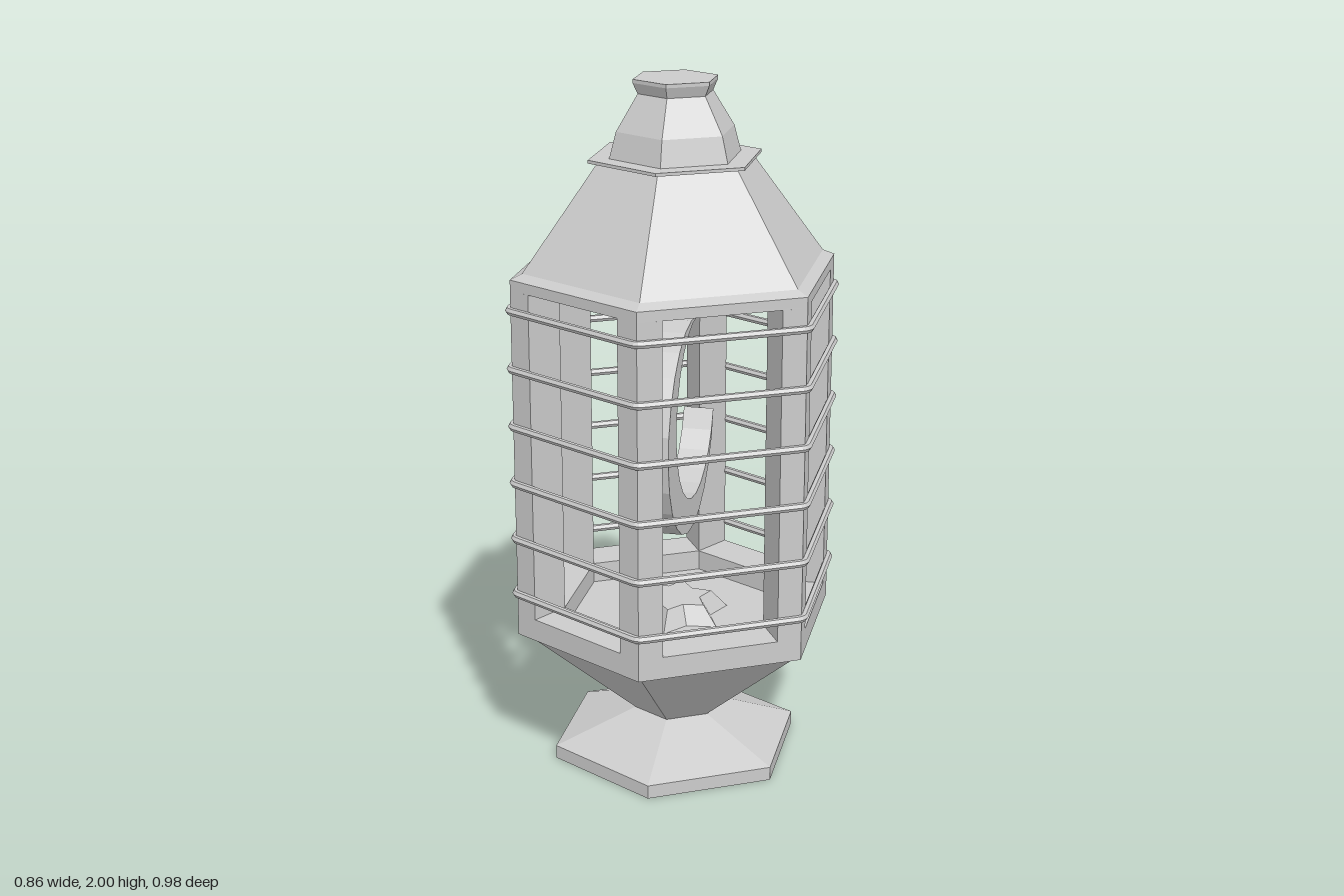
import * as THREE from 'three';

const material = new THREE.MeshStandardMaterial({ color: 0xcccccc, flatShading: true, side: THREE.DoubleSide });

function add(parent, name, geometry) {
  const mesh = new THREE.Mesh(geometry, material);
  mesh.name = name;
  parent.add(mesh);
  return mesh;
}

// Six-sided turned solid; radii are measured to the corners, which lie on +z and -z
function hexLathe(profile) {
  return new THREE.LatheGeometry(profile.map(([r, y]) => new THREE.Vector2(r, y)), 6);
}

// Hexagonal wire hoop with rounded corners, made by bending a torus
function hoopGeometry(cornerRadius, bend, wire) {
  const sides = 6, steps = 24;
  const geo = new THREE.TorusGeometry(1, 1, sides, steps);
  const pos = geo.attributes.position;
  for (let j = 0; j <= sides; j++) {
    for (let i = 0; i <= steps; i++) {
      const k = i % steps;
      const corner = Math.floor(k / 4) * Math.PI / 3;
      const a = corner + ((k % 4) - 1.5) * Math.PI / 9;
      const phi = j / sides * Math.PI * 2;
      const r = bend + wire * Math.cos(phi);
      pos.setXYZ(j * (steps + 1) + i,
        cornerRadius * Math.sin(corner) + r * Math.sin(a),
        wire * Math.sin(phi),
        cornerRadius * Math.cos(corner) + r * Math.cos(a));
    }
  }
  geo.computeVertexNormals();
  return geo;
}

// Tapered six-pointed star
function starGeometry(top, bottom, height) {
  const geo = new THREE.CylinderGeometry(top, bottom, height, 12);
  const pos = geo.attributes.position;
  for (let i = 0; i < pos.count; i++) {
    const x = pos.getX(i), z = pos.getZ(i);
    const step = Math.round(Math.atan2(x, z) / (Math.PI / 6));
    const s = step % 2 ? 0.65 : 1;
    pos.setX(i, x * s);
    pos.setZ(i, z * s);
  }
  geo.computeVertexNormals();
  return geo;
}

// Crescent outline between two circles that cross at its tips
function crescentGeometry(depth) {
  const shift = 0.07, R = 0.315, r = 0.268;
  const along = (shift * shift + R * R - r * r) / (2 * shift);
  const across = Math.sqrt(R * R - along * along);
  const outer = Math.atan2(across, along), inner = Math.atan2(across, along - shift);
  const shape = new THREE.Shape();
  const n = 18, pts = [];
  for (let i = 0; i <= n; i++) {
    const a = outer + (2 * Math.PI - 2 * outer) * i / n;
    pts.push(new THREE.Vector2(R * Math.cos(a), R * Math.sin(a)));
  }
  for (let i = 1; i < n; i++) {
    const a = 2 * Math.PI - inner - (2 * Math.PI - 2 * inner) * i / n;
    pts.push(new THREE.Vector2(shift + r * Math.cos(a), r * Math.sin(a)));
  }
  shape.setFromPoints(pts);
  const geo = new THREE.ExtrudeGeometry(shape, { depth, bevelEnabled: false });
  geo.translate(0, 0, -depth / 2);
  geo.rotateZ(Math.PI - 0.588); // opening faces up and to the back
  return geo;
}

export function createModel() {
  const model = new THREE.Group();
  model.name = 'lantern';

  // Foot, funnel and lower window rim
  add(model, 'base', hexLathe([
    [0, 0], [0.37, 0], [0.37, 0.04], [0.125, 0.13], [0.445, 0.405], [0.475, 0.415],
    [0.475, 0.48], [0.336, 0.48], [0.336, 0.42], [0, 0.42],
  ]));

  // Upper window rim, roof, flange and chimney
  add(model, 'roof', hexLathe([
    [0, 1.5], [0.336, 1.5], [0.336, 1.44], [0.475, 1.44], [0.475, 1.47], [0.44, 1.485],
    [0.225, 1.775], [0.25, 1.778], [0.25, 1.787], [0.19, 1.787], [0.17, 1.86],
    [0.108, 1.96], [0.122, 1.99], [0.122, 2], [0, 2],
  ]));

  // Kite-shaped corner posts
  const kite = new THREE.Shape([
    [0, -0.475], [0.061, -0.44], [0, -0.336], [-0.061, -0.44],
  ].map(([x, y]) => new THREE.Vector2(x, y)));
  const postGeo = new THREE.ExtrudeGeometry(kite, { depth: 0.96, bevelEnabled: false });
  postGeo.rotateX(-Math.PI / 2);
  const posts = new THREE.Group();
  posts.name = 'cornerPosts';
  model.add(posts);
  for (let i = 0; i < 6; i++) {
    const post = add(posts, 'cornerPost', postGeo);
    post.position.y = 0.48;
    post.rotation.y = i * Math.PI / 3;
  }

  // Wire guard hoops
  const hoopGeo = hoopGeometry(0.45, 0.028, 0.011);
  const hoops = new THREE.Group();
  hoops.name = 'guardHoops';
  model.add(hoops);
  for (let i = 0; i < 6; i++) {
    add(hoops, 'guardHoop', hoopGeo).position.y = 0.543 + i * 0.168;
  }

  // Hanging crescent in the side-to-side middle plane
  const crescent = add(model, 'crescent', crescentGeometry(0.09));
  crescent.rotation.y = -Math.PI / 2;
  crescent.position.set(0, 1, -0.015);

  // Star ornaments on the floor and ceiling
  add(model, 'floorStar', starGeometry(0.11, 0.16, 0.055)).position.y = 0.447;
  const ceilingStar = add(model, 'ceilingStar', starGeometry(0.11, 0.16, 0.055));
  ceilingStar.position.y = 1.473;
  ceilingStar.rotation.x = Math.PI;

  return model;
}
